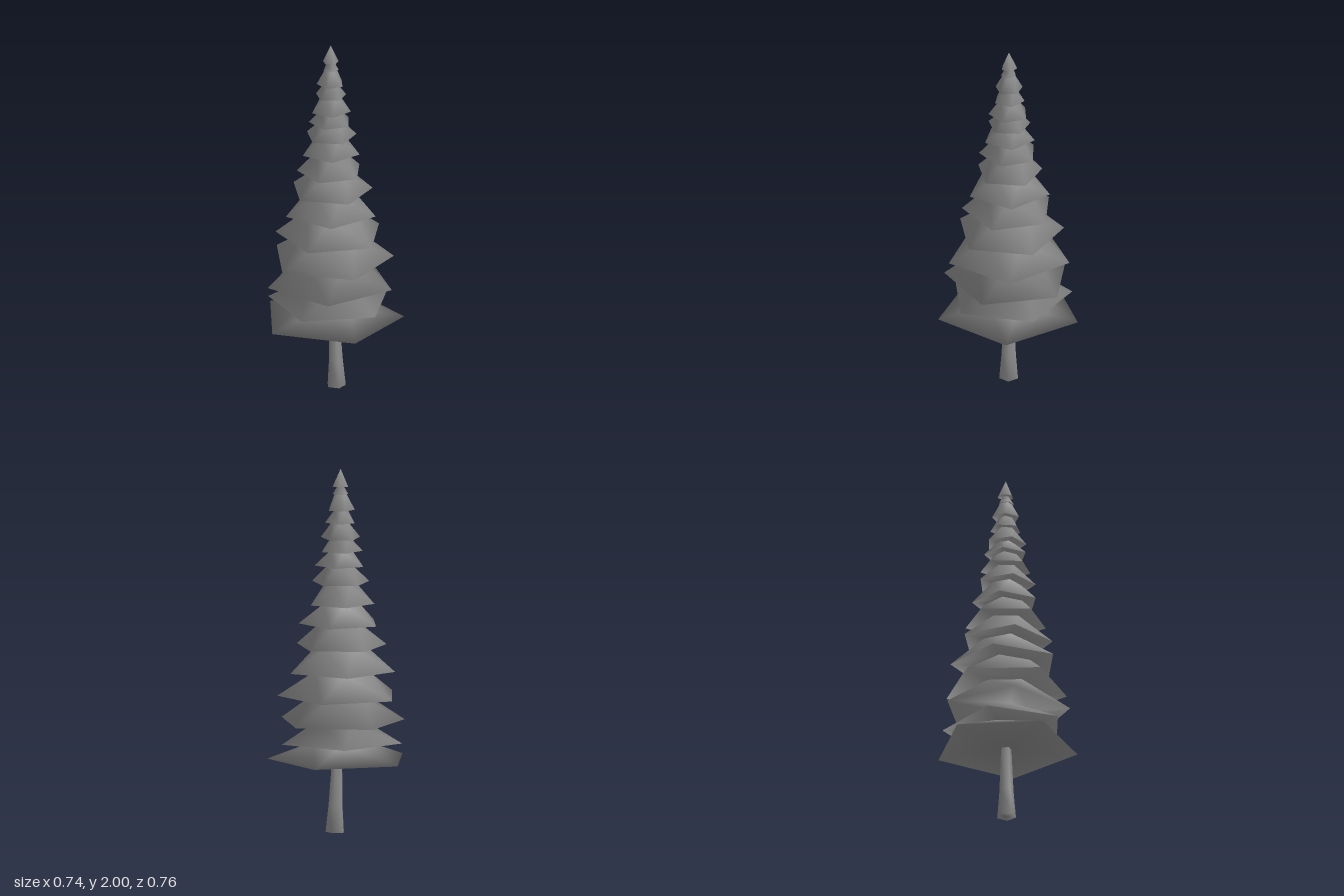
import * as THREE from 'three';

const SIDES = 5;

// Smooth skin over a stack of pentagon rings; each end may close to a point
function loft(rings, startPoint, endPoint) {
  const pos = [], idx = [];
  for (const { x, y, r, deg } of rings) {
    for (let i = 0; i < SIDES; i++) {
      const a = THREE.MathUtils.degToRad(deg + (i * 360) / SIDES);
      pos.push(x + r * Math.cos(a), y, r * Math.sin(a));
    }
  }
  for (let k = 0; k < rings.length - 1; k++) {
    for (let i = 0; i < SIDES; i++) {
      const j = (i + 1) % SIDES;
      const a = k * SIDES + i, a2 = k * SIDES + j;
      const b = a + SIDES, b2 = a2 + SIDES;
      idx.push(a, b, b2, a, b2, a2);
    }
  }
  const close = (point, base, atEnd) => {
    const c = pos.length / 3;
    pos.push(...point);
    for (let i = 0; i < SIDES; i++) {
      const a = base + i, b = base + (i + 1) % SIDES;
      if (atEnd) idx.push(a, c, b);
      else idx.push(c, a, b);
    }
  };
  if (startPoint) close(startPoint, 0, false);
  if (endPoint) close(endPoint, (rings.length - 1) * SIDES, true);
  const g = new THREE.BufferGeometry();
  g.setAttribute('position', new THREE.Float32BufferAttribute(pos, 3));
  g.setIndex(idx);
  g.computeVertexNormals();
  return g;
}

export function createModel() {
  const group = new THREE.Group();
  const grey = new THREE.MeshStandardMaterial({ color: 0x909090 });
  grey.name = 'grey';
  const add = (name, geometry) => {
    const mesh = new THREE.Mesh(geometry, grey);
    mesh.name = name;
    group.add(mesh);
  };

  // Trunk: flared foot, leaning slightly
  add('trunk', loft([
    { x: -0.004, y: 0, r: 0.054, deg: 0 },
    { x: -0.007, y: 0.15, r: 0.041, deg: 0 },
    { x: -0.015, y: 0.4, r: 0.03, deg: 0 },
  ], [-0.004, 0, 0], null));

  // Foliage: [rim height, rim radius] of each tier; every tier turns 25 degrees
  const tiers = [
    [0.40, 0.40], [0.50, 0.345], [0.61, 0.355], [0.75, 0.345],
    [0.89, 0.302], [1.025, 0.257], [1.15, 0.23], [1.26, 0.185],
    [1.375, 0.163], [1.47, 0.143], [1.55, 0.12], [1.62, 0.112],
    [1.705, 0.086], [1.775, 0.077], [1.86, 0.044], [1.903, 0.045],
  ];
  const x = -0.032;
  const rings = [{ x: -0.015, y: 0.4, r: 0.03, deg: 0 }];
  tiers.forEach(([y, r], i) => {
    rings.push({ x, y, r, deg: -25 * i });
    const next = tiers[i + 1];
    // Neck under the next rim
    if (next) rings.push({ x, y: next[0], r: r * (i < 2 ? 0.38 : 0.45), deg: -25 * (i + 1) });
  });
  add('foliage', loft(rings, null, [x, 2, 0]));

  return group;
}
